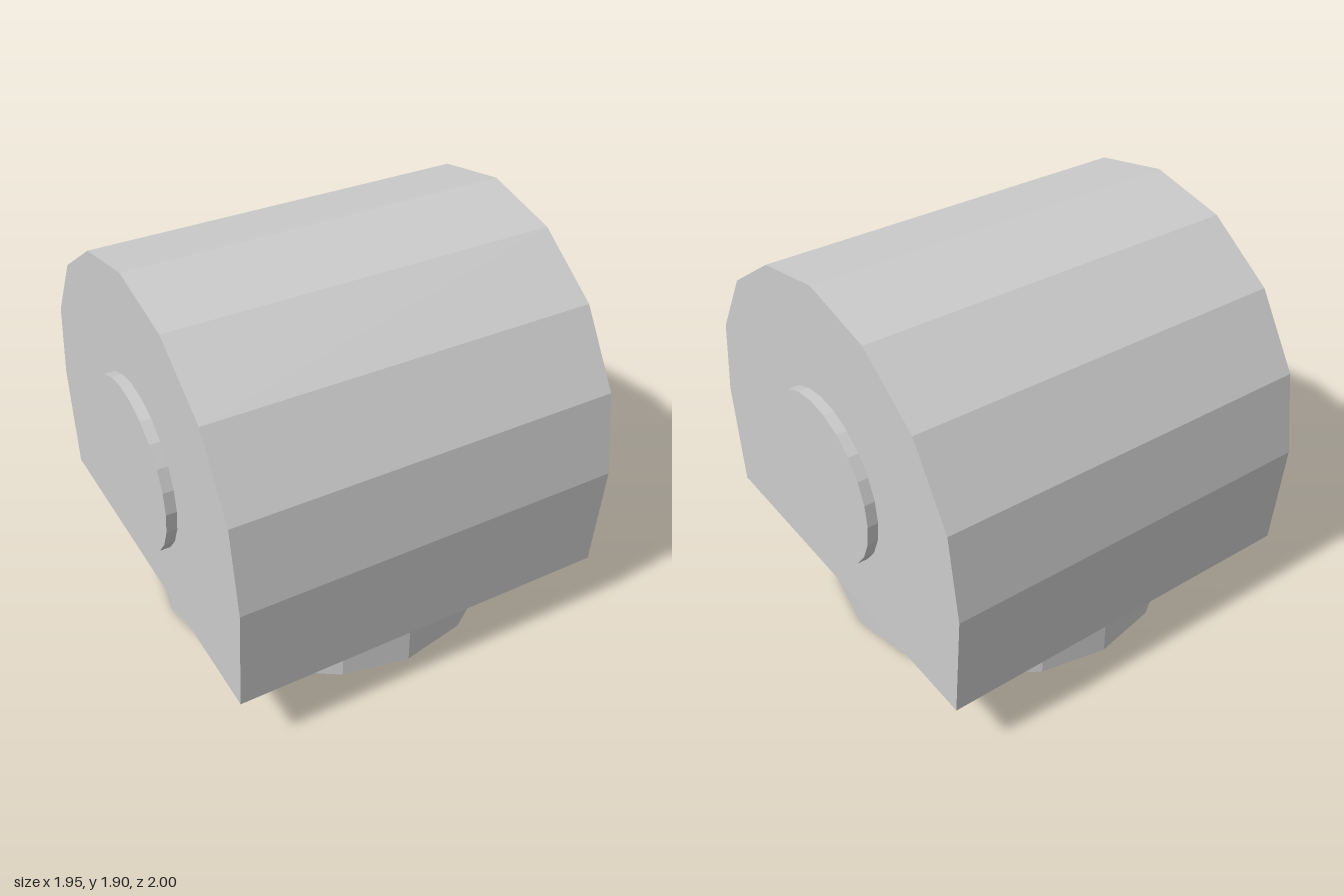
import * as THREE from 'three';

const material = new THREE.MeshStandardMaterial({ color: 0xcccccc, flatShading: true, side: THREE.DoubleSide });
const HALF_X = 0.925, HALF_Z = 0.96, BASE_Y = 0.32, COLLAR_R = 0.84, COLLAR_SIDES = 16;

function addMesh(group, name, geometry) {
  const mesh = new THREE.Mesh(geometry, material);
  mesh.name = name;
  group.add(mesh);
  return mesh;
}

// Faceted barrel section, extruded along x
function bodyGeometry() {
  const half = [[HALF_Z, BASE_Y], [1, 0.86], [0.935, 1.26], [0.72, 1.6], [0.39, 1.825]];
  const mirrored = half.map(([z, y]) => [-z, y]).reverse();
  const points = [...half, [0, 1.905], ...mirrored].map(([z, y]) => new THREE.Vector2(z, y));
  const geometry = new THREE.ExtrudeGeometry(new THREE.Shape(points), { depth: HALF_X * 2, bevelEnabled: false });
  geometry.translate(0, 0, -HALF_X);
  return geometry.rotateY(Math.PI / 2);
}

// Four sloped underside faces, running from the body's base to the round collar
function skirtGeometry() {
  const slopeY = (x, z) =>
    BASE_Y - Math.min((HALF_X - Math.abs(x)) * 0.87, (HALF_Z - Math.abs(z)) * 0.83);
  const rim = (i) => {
    const a = (i / COLLAR_SIDES) * Math.PI * 2;
    const x = Math.sin(a) * COLLAR_R, z = Math.cos(a) * COLLAR_R;
    return [x, slopeY(x, z), z];
  };
  const corners = [[-1, 1], [1, 1], [1, -1], [-1, -1]].map(([x, z]) => [x * HALF_X, BASE_Y, z * HALF_Z]);
  const positions = [];
  for (let side = 0; side < 4; side++) {
    const a = corners[side], b = corners[(side + 1) % 4];
    const mid = a.map((v, k) => (v + b[k]) / 2);
    const chain = [a];
    for (let i = -2; i <= 2; i++) chain.push(rim(side * 4 + i));
    chain.push(b);
    for (let i = 0; i < chain.length - 1; i++) positions.push(...mid, ...chain[i], ...chain[i + 1]);
  }
  const geometry = new THREE.BufferGeometry();
  geometry.setAttribute('position', new THREE.Float32BufferAttribute(positions, 3));
  geometry.computeVertexNormals();
  return geometry;
}

// Round collar with a flat-floored recess underneath
function collarGeometry() {
  const profile = [[0, 0.23], [0.785, 0.23], [0.785, 0], [COLLAR_R, 0], [COLLAR_R, 0.25]];
  return new THREE.LatheGeometry(profile.map(([r, y]) => new THREE.Vector2(r, y)), COLLAR_SIDES);
}

export function createModel() {
  const model = new THREE.Group();
  model.name = 'barrelHousing';
  addMesh(model, 'body', bodyGeometry());
  addMesh(model, 'skirt', skirtGeometry());
  addMesh(model, 'collar', collarGeometry());

  // Raised discs on both ends
  for (const [name, side] of [['leftDisc', 1], ['rightDisc', -1]]) {
    const disc = addMesh(model, name, new THREE.CylinderGeometry(0.41, 0.41, 0.07, 24).rotateZ(Math.PI / 2));
    disc.position.set(side * 0.94, 0.963, 0);
  }
  return model;
}
